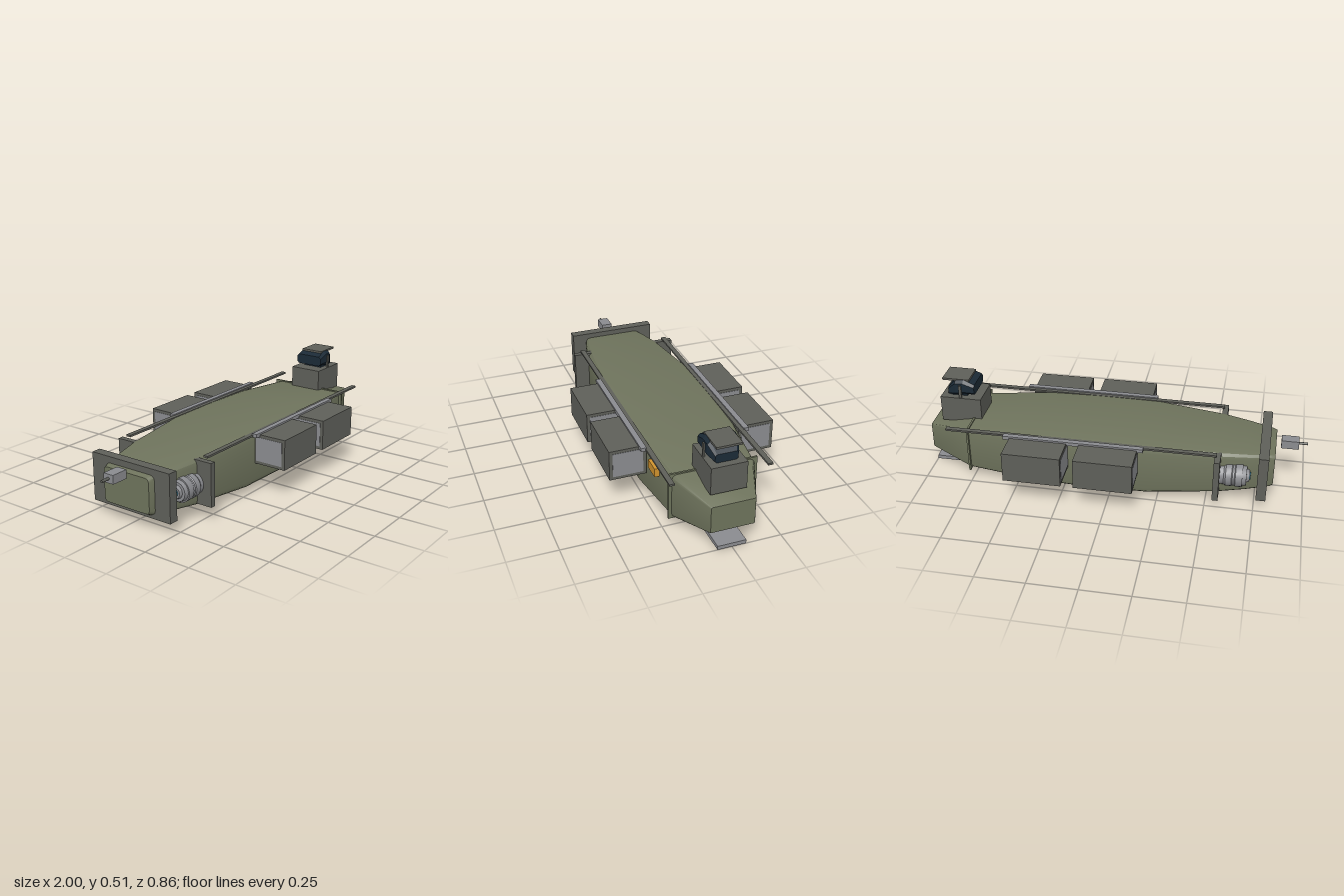
import * as THREE from 'three';
import { toCreasedNormals } from 'three/addons/utils/BufferGeometryUtils.js';

const mat = (color) => new THREE.MeshStandardMaterial({ color });
const olive = mat(0x6e735c), dark = mat(0x5e5f59), steel = mat(0x8a8b8f);
const glass = mat(0x1b2a36), amber = mat(0xd0932e), teal = mat(0x2f6f86);

function add(parent, name, geometry, material) {
  const mesh = new THREE.Mesh(geometry, material);
  mesh.name = name;
  parent.add(mesh);
  return mesh;
}

// Box given by its lower and upper limits on each axis
function box(parent, name, material, [x0, x1], [y0, y1], [z0, z1]) {
  const mesh = add(parent, name, new THREE.BoxGeometry(x1 - x0, y1 - y0, z1 - z0), material);
  mesh.position.set((x0 + x1) / 2, (y0 + y1) / 2, (z0 + z1) / 2);
  return mesh;
}

// Rounded rectangles [x, bottom, top, halfWidth, cornerRadius] joined along x
function loft(stations, steps, crease) {
  const pos = [], index = [], n = 4 * (steps + 1);
  for (const [x, y0, y1, w, r] of stations) {
    for (let corner = 0; corner < 4; corner++) {
      const sx = corner === 0 || corner === 3 ? 1 : -1;
      const cy = corner < 2 ? y1 - r : y0 + r;
      for (let k = 0; k <= steps; k++) {
        const a = (corner + k / steps) * Math.PI / 2;
        pos.push(x, cy + r * Math.sin(a), -(sx * (w - r) + r * Math.cos(a)));
      }
    }
  }
  for (let i = 0; i < stations.length - 1; i++) {
    for (let j = 0; j < n; j++) {
      const a = i * n + j, b = i * n + (j + 1) % n;
      index.push(a, b, a + n, b, b + n, a + n);
    }
  }
  const last = (stations.length - 1) * n;
  for (let j = 1; j < n - 1; j++) {
    index.push(0, j + 1, j, last, last + j, last + j + 1);
  }
  const g = new THREE.BufferGeometry();
  g.setAttribute('position', new THREE.Float32BufferAttribute(pos, 3));
  g.setIndex(index);
  return toCreasedNormals(g, crease);
}

// Stepped thruster drum turned around the x axis
function engine(side) {
  const group = new THREE.Group();
  group.name = side > 0 ? 'leftEngine' : 'rightEngine';
  const profile = [[0, -0.72], [0.03, -0.72], [0.035, -0.705], [0.05, -0.705], [0.055, -0.685],
    [0.062, -0.685], [0.062, -0.65], [0.058, -0.645], [0.058, -0.635], [0.062, -0.63],
    [0.062, -0.6], [0.055, -0.59], [0.055, -0.56], [0, -0.56]];
  const lathe = new THREE.LatheGeometry(profile.map(([r, x]) => new THREE.Vector2(r, x)), 20);
  const drum = add(group, 'engineDrum', toCreasedNormals(lathe, 0.6), steel);
  const tip = add(group, 'engineGlow', new THREE.CylinderGeometry(0.02, 0.02, 0.006, 16), teal);
  tip.position.y = -0.722;
  drum.rotation.z = -Math.PI / 2;
  tip.rotation.z = -Math.PI / 2;
  tip.position.set(-0.722, 0, 0);
  group.position.set(0, 0.175, side * 0.193);
  return group;
}

// Cargo pod with a pale panel on each end
function pod(x0, side) {
  const group = new THREE.Group();
  group.name = 'cargoPod';
  const z = side * 0.336, x1 = x0 + 0.3;
  box(group, 'podShell', dark, [x0, x1], [0.155, 0.315], [z - 0.094, z + 0.094]);
  for (const x of [x0, x1]) {
    box(group, 'podEndPanel', steel, [x - 0.002, x + 0.002], [0.171, 0.299], [z - 0.077, z + 0.077]);
  }
  return group;
}

export function createModel() {
  const model = new THREE.Group();
  model.name = 'cargoShip';

  // Hull
  add(model, 'hull', loft([
    [-0.84, 0.09, 0.27, 0.14, 0.02],
    [-0.82, 0.08, 0.277, 0.147, 0.024],
    [-0.7, 0.068, 0.288, 0.182, 0.03],
    [-0.56, 0.055, 0.3, 0.212, 0.035],
    [-0.2, 0.031, 0.32, 0.25, 0.038],
    [0.15, 0.027, 0.321, 0.254, 0.038],
    [0.42, 0.035, 0.316, 0.248, 0.036],
    [0.77, 0.055, 0.293, 0.208, 0.025],
    [0.995, 0.102, 0.248, 0.113, 0.008],
    [1.0, 0.106, 0.246, 0.11, 0.006],
  ], 3, 0.5), olive);

  // Frames crossing the hull
  box(model, 'sternPlate', dark, [-0.81, -0.76], [0.06, 0.31], [-0.24, 0.24]);
  box(model, 'engineFrame', dark, [-0.57, -0.54], [0.07, 0.296], [-0.293, 0.293]);
  box(model, 'bowFrame', olive, [0.757, 0.767], [0.052, 0.3], [-0.225, 0.225]);

  // Keel skid below the hull
  box(model, 'keelSkid', steel, [-0.68, 1], [0, 0.02], [-0.072, 0.072]);

  // Engines, pods and rails on both sides
  for (const side of [1, -1]) {
    model.add(engine(side), pod(-0.15, side), pod(0.215, side));
    const z = side * 0.245, zb = side * 0.267;
    box(model, 'sideRail', dark, [-0.55, 0.865], [0.308, 0.318], [z - 0.013, z + 0.013]);
    box(model, 'podClampBar', steel, [-0.18, 0.55], [0.305, 0.324], [zb - 0.014, zb + 0.014]);
  }

  // Amber hatch on the left flank
  box(model, 'amberHatch', amber, [0.555, 0.645], [0.215, 0.26], [0.22, 0.248]);

  // Command tower with glazed bridge, roof plate and mast frame
  box(model, 'towerBase', dark, [0.72, 0.94], [0.27, 0.411], [-0.09, 0.09]);
  add(model, 'bridgeGlazing', loft([
    [0.755, 0.43, 0.485, 0.08, 0.012],
    [0.815, 0.425, 0.511, 0.081, 0.018],
    [0.86, 0.418, 0.505, 0.078, 0.016],
    [0.905, 0.411, 0.455, 0.057, 0.008],
  ], 1, 0.2), glass);
  box(model, 'bridgeFoot', glass, [0.8, 0.89], [0.405, 0.43], [-0.055, 0.055]);
  box(model, 'roofPlate', dark, [0.785, 0.93], [0.5, 0.511], [-0.064, 0.064]);
  for (const z of [0.082, -0.082]) {
    box(model, 'bridgePost', dark, [0.824, 0.838], [0.405, 0.482], [z - 0.005, z + 0.005]);
  }

  // Trailing sensor behind the stern
  box(model, 'sensorBox', steel, [-0.955, -0.865], [0.255, 0.3], [-0.029, 0.029]);
  const rod = add(model, 'sensorRod', new THREE.CylinderGeometry(0.007, 0.007, 0.05, 10), dark);
  rod.rotation.z = Math.PI / 2;
  rod.position.set(-0.975, 0.278, 0);

  return model;
}
